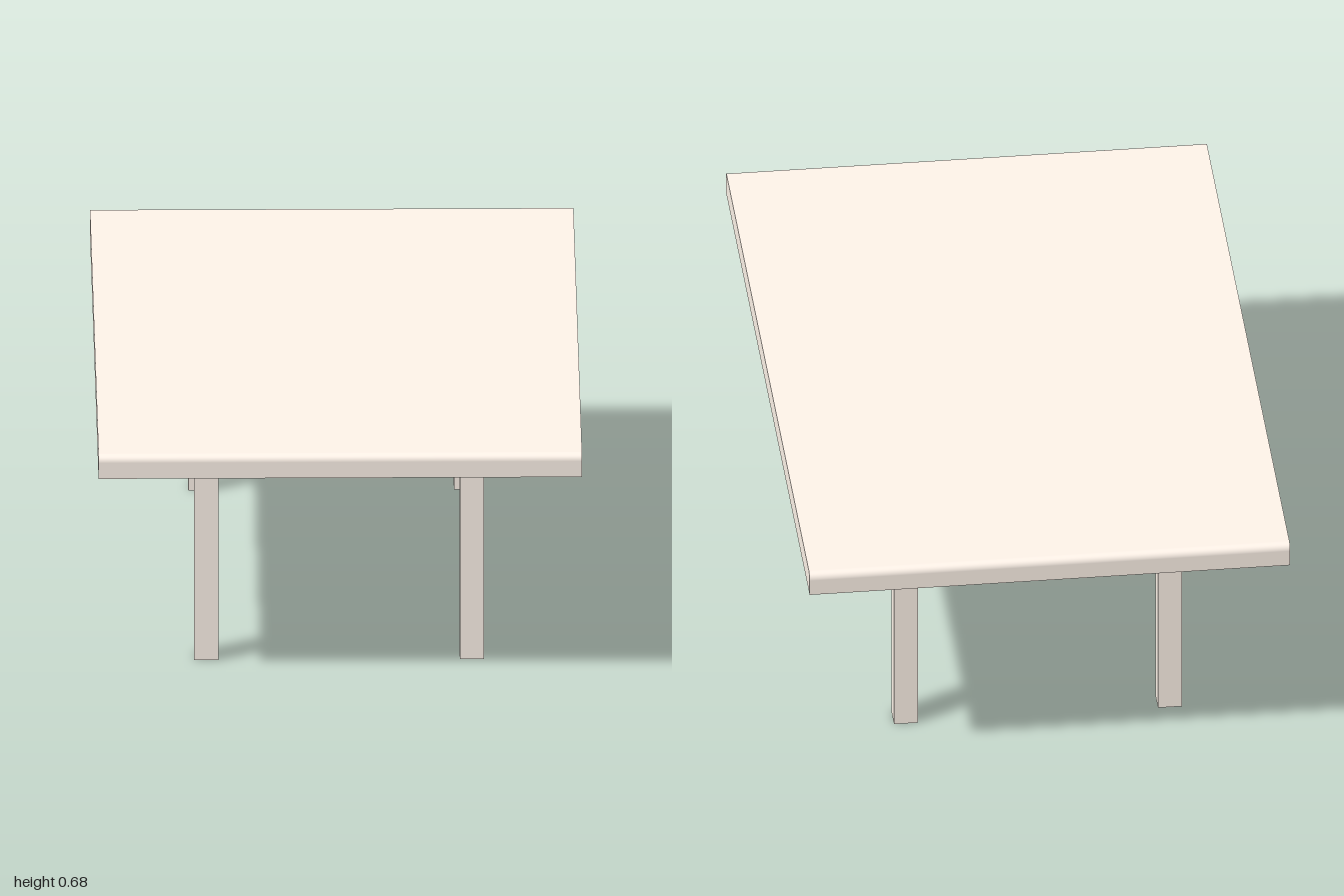
import * as THREE from 'three';

export function createModel() {
  const table = new THREE.Group();
  table.name = 'table';
  const wood = new THREE.MeshStandardMaterial({ color: 0xfef3e9 });

  const width = 1.3, halfLength = 1, underside = 0.618, topHeight = 0.683, radius = 0.02;
  const arcY = topHeight - radius, arcZ = halfLength - radius;

  // Tabletop: side profile with rounded upper ends, extruded across the width
  const profile = new THREE.Shape();
  profile.moveTo(-halfLength, underside);
  profile.lineTo(halfLength, underside);
  profile.lineTo(halfLength, arcY);
  profile.absarc(arcZ, arcY, radius, 0, Math.PI / 2);
  profile.lineTo(-arcZ, topHeight);
  profile.absarc(-arcZ, arcY, radius, Math.PI / 2, Math.PI);
  profile.closePath();
  const slab = new THREE.ExtrudeGeometry(profile, { depth: width, bevelEnabled: false, curveSegments: 8 });
  slab.translate(0, 0, -width / 2);
  slab.rotateY(-Math.PI / 2);

  // Smooth normals around the rounded ends; the flat faces stay flat
  const { position, normal } = slab.attributes;
  for (let i = 0; i < position.count; i++) {
    const y = position.getY(i) - arcY, z = position.getZ(i);
    const onSideFace = Math.abs(normal.getX(i)) > 0.5;
    if (onSideFace || y < -0.001) continue;
    normal.setXYZ(i, 0, y / radius, (z - Math.sign(z) * arcZ) / radius);
  }
  const tabletop = new THREE.Mesh(slab, wood);
  tabletop.name = 'tabletop';
  table.add(tabletop);

  // Four square legs set in from the edges
  const legGeometry = new THREE.BoxGeometry(0.065, underside, 0.065);
  for (const [zName, z] of [['front', 0.683], ['back', -0.683]]) {
    for (const [xName, x] of [['Left', 0.357], ['Right', -0.357]]) {
      const leg = new THREE.Mesh(legGeometry, wood);
      leg.name = `${zName}${xName}Leg`;
      leg.position.set(x, underside / 2, z);
      table.add(leg);
    }
  }
  return table;
}
